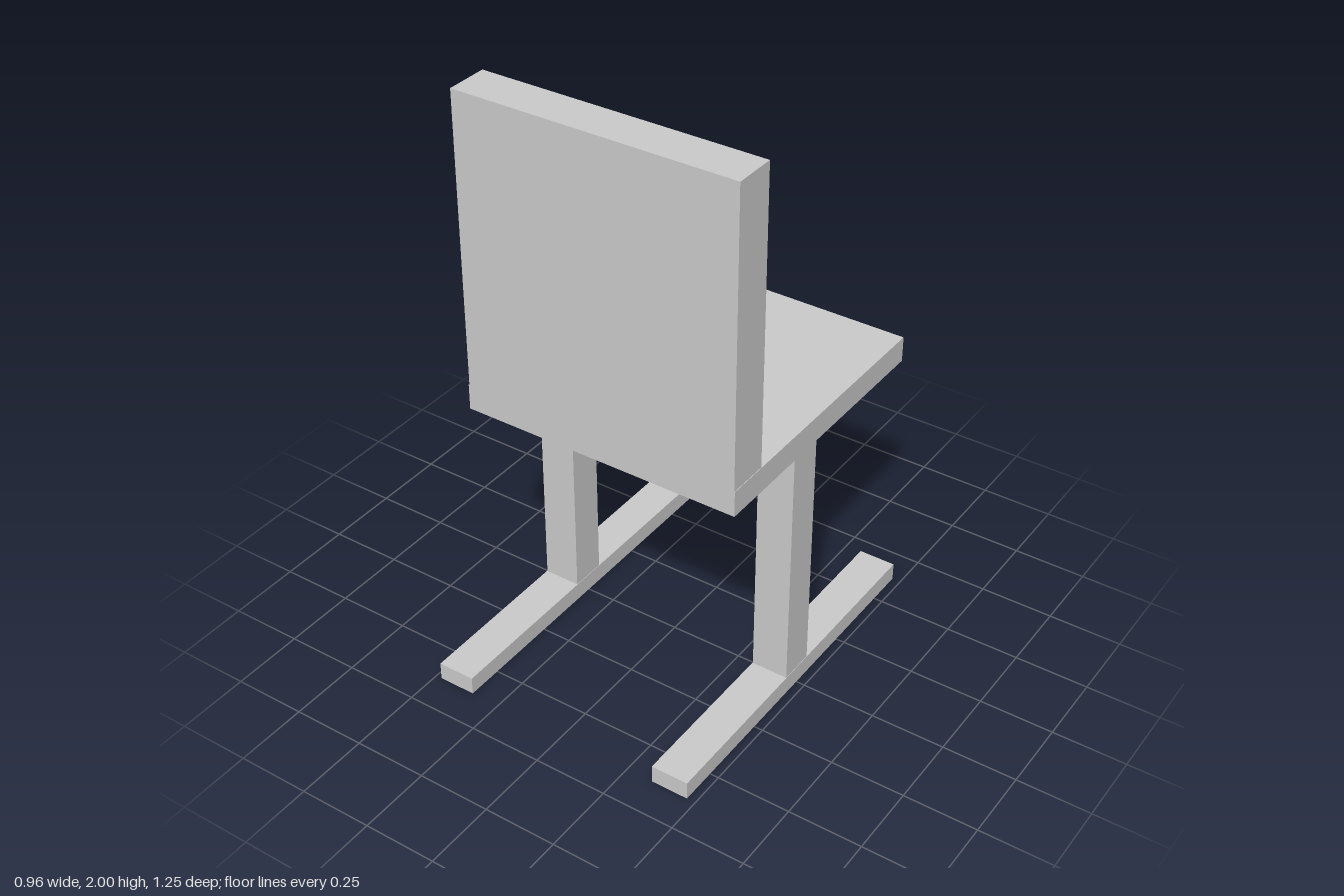
import * as THREE from 'three';

const material = new THREE.MeshStandardMaterial({ color: 0xcccccc, flatShading: true });

// Box given by its extents along each axis
function slab(name, [x0, x1], [y0, y1], [z0, z1]) {
  const mesh = new THREE.Mesh(new THREE.BoxGeometry(x1 - x0, y1 - y0, z1 - z0), material);
  mesh.position.set((x0 + x1) / 2, (y0 + y1) / 2, (z0 + z1) / 2);
  mesh.name = name;
  return mesh;
}

export function createModel() {
  const chair = new THREE.Group();
  chair.name = 'chair';

  // Seat panel and the upright backrest along its +z edge
  chair.add(slab('seat', [-0.478, 0.477], [0.925, 1.012], [-0.566, 0.402]));
  chair.add(slab('backrest', [-0.475, 0.475], [1.012, 2], [0.26, 0.402]));

  // Each side has a post standing on a long floor runner
  for (const [side, x] of [['right', -0.415], ['left', 0.406]]) {
    const support = new THREE.Group();
    support.name = side + 'Support';
    support.add(slab(side + 'Leg', [x - 0.0625, x + 0.0625], [0.062, 0.925], [-0.062, 0.062]));
    support.add(slab(side + 'Foot', [x - 0.064, x + 0.064], [0, 0.062], [-0.626, 0.626]));
    chair.add(support);
  }
  return chair;
}
